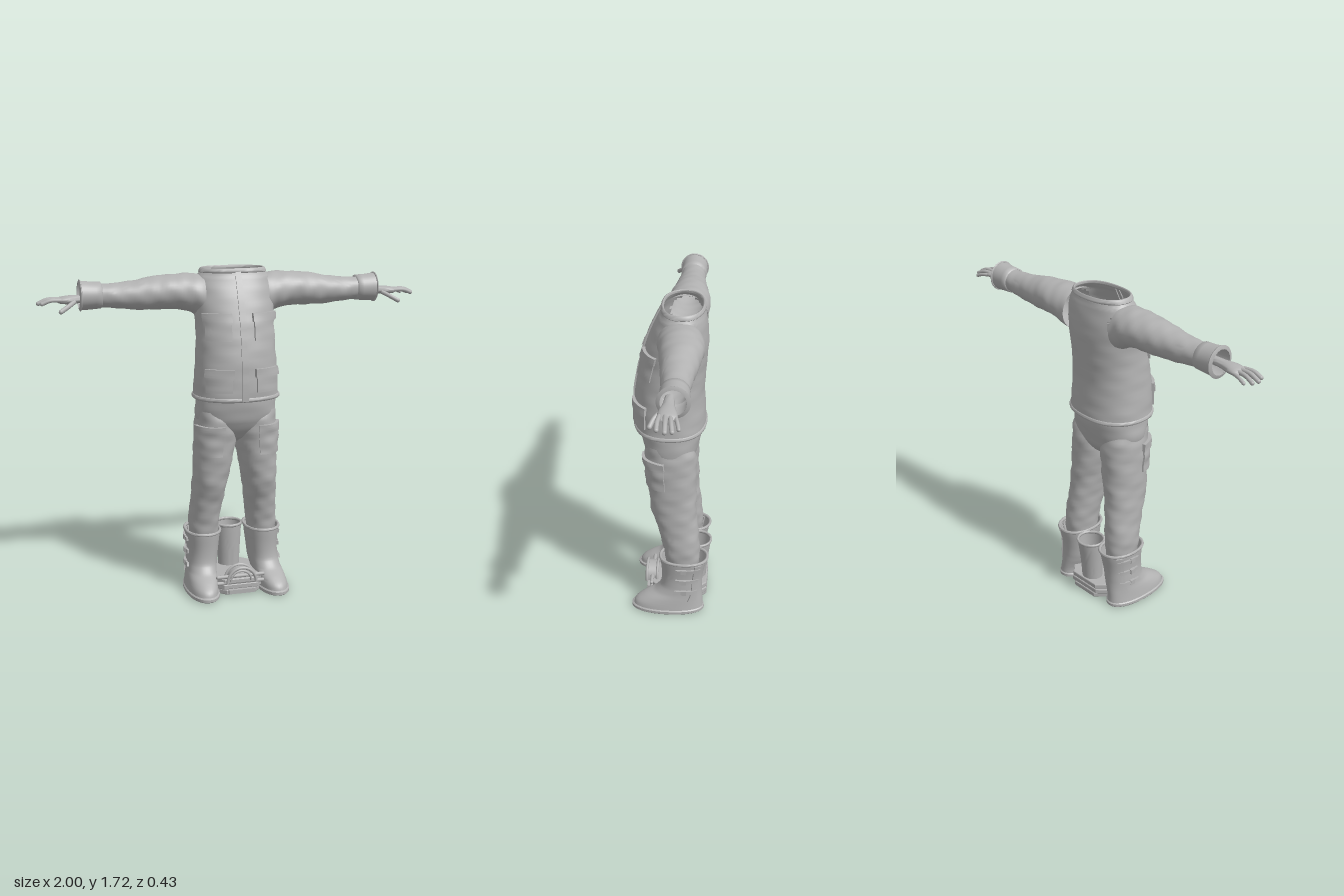
import * as THREE from 'three';
import { toCreasedNormals, mergeVertices } from 'three/addons/utils/BufferGeometryUtils.js';

const grey = new THREE.MeshStandardMaterial({ color: 0xb2b2b2, side: THREE.DoubleSide });
grey.name = 'grey';
const DEG = Math.PI / 180;

function add(parent, name, geo) {
  const m = new THREE.Mesh(geo, grey);
  m.name = name;
  parent.add(m);
  return m;
}

// A tube described by rows [v, p0, p1, q0, q1]; axis 'y' runs upward, 'x' runs sideways
function tube(rows, { axis = 'y', power = 1, folds = 0 } = {}) {
  const col = (i, f, c) => {
    const r = (k) => rows[Math.min(Math.max(k, 0), rows.length - 1)][c];
    const [a, b, d, e] = [r(i - 1), r(i), r(i + 1), r(i + 2)];
    return b + 0.5 * f * (d - a + f * (2 * a - 5 * b + 4 * d - e + f * (3 * (b - d) + e - a)));
  };
  const round = (s) => Math.sign(s) * Math.pow(Math.abs(s), power);
  const at = (v, a, lift = 0) => {
    let i = 0;
    while (i < rows.length - 2 && v > rows[i + 1][0]) i++;
    const f = (v - rows[i][0]) / (rows[i + 1][0] - rows[i][0]);
    const [p0, p1, q0, q1] = [1, 2, 3, 4].map((c) => col(i, f, c));
    const k = 1 + folds * (Math.sin(3 * a + v * 37) + Math.sin(5 * a - v * 61 + 1.3) + 0.7 * Math.sin(2 * a + v * 90));
    const p = (p0 + p1) / 2 + ((p1 - p0) / 2 * k + lift) * round(Math.cos(a));
    const q = (q0 + q1) / 2 + ((q1 - q0) / 2 * k + lift) * round(Math.sin(a));
    return axis === 'y' ? [p, v, q] : [v, q, p];
  };
  return { rows, at };
}

// Skin of a tube, with optional openings
function skin(t, { seg = 40, steps = 5, skip = () => false, crease = 60 } = {}) {
  const pos = [], idx = [], vs = [];
  t.rows.forEach((r, i) => {
    if (i === 0) return vs.push(r[0]);
    const b = t.rows[i - 1][0];
    for (let s = 1; s <= steps; s++) vs.push(b + (r[0] - b) * s / steps);
  });
  vs.forEach((v) => { for (let j = 0; j < seg; j++) pos.push(...t.at(v, j / seg * Math.PI * 2)); });
  for (let i = 0; i < vs.length - 1; i++) for (let j = 0; j < seg; j++) {
    const a = i * seg + j, b = i * seg + (j + 1) % seg;
    if (skip(pos[a * 3], pos[a * 3 + 1], pos[a * 3 + 2])) continue;
    idx.push(a, a + seg, b, b, a + seg, b + seg);
  }
  return finish(pos, idx, crease);
}

function finish(pos, idx, crease) {
  const g = new THREE.BufferGeometry();
  g.setAttribute('position', new THREE.Float32BufferAttribute(pos, 3));
  g.setIndex(idx);
  return toCreasedNormals(mergeVertices(g, 1e-5), crease * DEG);
}

// Raised patch that hugs a tube between two angles (degrees) and two heights
function patch(t, a0, a1, v0, v1, lift, n = 12) {
  const pos = [], idx = [], w = n + 3;
  for (let i = 0; i < w; i++) for (let j = 0; j < w; j++) {
    const f = (k) => Math.min(Math.max(k - 1, 0), n) / n;
    const edge = i === 0 || j === 0 || i === w - 1 || j === w - 1;
    pos.push(...t.at(v0 + (v1 - v0) * f(i), (a0 + (a1 - a0) * f(j)) * DEG, edge ? -0.006 : lift));
  }
  for (let i = 0; i < w - 1; i++) for (let j = 0; j < w - 1; j++) {
    const a = i * w + j;
    idx.push(a, a + w, a + 1, a + 1, a + w, a + w + 1);
  }
  return finish(pos, idx, 35);
}

function pocket(parent, name, t, a0, a1, bottom, top) {
  add(parent, name, patch(t, a0, a1, bottom, top - 0.02, 0.009));
  add(parent, name + 'Flap', patch(t, a0 - 2, a1 + 2, top - 0.042, top, 0.016));
}

// Closed band around a tube
function band(t, v0, v1, lift) {
  const mid = (v0 + v1) / 2, h = (v1 - v0) / 2, seg = 48, k = 8, pos = [], idx = [];
  for (let i = 0; i < k; i++) for (let j = 0; j < seg; j++) {
    const c = i / k * Math.PI * 2;
    pos.push(...t.at(mid + h * Math.sin(c), j / seg * Math.PI * 2, lift * Math.cos(c)));
  }
  for (let i = 0; i < k; i++) for (let j = 0; j < seg; j++) {
    const n = (i + 1) % k, m = (j + 1) % seg;
    idx.push(i * seg + j, n * seg + j, i * seg + m, i * seg + m, n * seg + j, n * seg + m);
  }
  return finish(pos, idx, 60);
}

function box(parent, name, size, at) {
  const m = add(parent, name, new THREE.BoxGeometry(...size));
  m.position.set(...at);
  return m;
}

function buildHand(parent) {
  const palm = tube([[0.72, -0.06, -0.015, 1.565, 1.605], [0.79, -0.065, -0.008, 1.562, 1.602],
    [0.84, -0.078, 0.005, 1.558, 1.602], [0.885, -0.084, 0.004, 1.562, 1.595], [0.905, -0.07, -0.01, 1.572, 1.584]], { axis: 'x' });
  add(parent, 'palm', skin(palm, { seg: 20, steps: 3 }));
  // Fingers and thumb: knuckle, middle joint, tip, radius
  [[[0.88, 1.582, -0.005], [0.935, 1.582, 0], [0.975, 1.567, 0.0], 0.0105],
    [[0.88, 1.584, -0.03], [0.945, 1.584, -0.034], [0.99, 1.566, -0.036], 0.011],
    [[0.88, 1.582, -0.052], [0.94, 1.58, -0.06], [0.982, 1.564, -0.067], 0.0105],
    [[0.875, 1.578, -0.073], [0.92, 1.574, -0.085], [0.955, 1.562, -0.093], 0.009],
    [[0.815, 1.572, -0.01], [0.85, 1.552, 0.02], [0.888, 1.53, 0.037], 0.0115]].forEach(([a, b, c, r], i) => {
    const pts = [a, b, c].map((p) => new THREE.Vector3(...p));
    const name = i < 4 ? 'finger' : 'thumb';
    add(parent, name, new THREE.TubeGeometry(new THREE.CatmullRomCurve3(pts), 8, r, 10));
    add(parent, name + 'Tip', new THREE.SphereGeometry(r, 10, 8)).position.copy(pts[2]);
  });
}

function buildSide(sign, jacket) {
  const g = new THREE.Group();
  g.name = sign > 0 ? 'leftSide' : 'rightSide';
  g.scale.x = sign;

  // Sleeve, cuff and hand
  const sleeve = tube([[0.165, -0.16, 0.07, 1.465, 1.69], [0.22, -0.165, 0.062, 1.495, 1.694], [0.3, -0.165, 0.05, 1.515, 1.692],
    [0.4, -0.153, 0.038, 1.515, 1.685], [0.5, -0.138, 0.026, 1.518, 1.668], [0.6, -0.127, 0.016, 1.528, 1.655],
    [0.69, -0.118, 0.005, 1.537, 1.652]], { axis: 'x', folds: 0.012 });
  add(g, 'sleeve', skin(sleeve));
  const cuff = tube([[0.675, -0.118, 0.004, 1.535, 1.655], [0.68, -0.126, 0.011, 1.53, 1.662], [0.735, -0.126, 0.011, 1.526, 1.665],
    [0.785, -0.128, 0.013, 1.524, 1.67], [0.79, -0.116, 0.002, 1.535, 1.658]], { axis: 'x' });
  add(g, 'cuff', skin(cuff, { steps: 2 }));
  add(g, 'cuffRim', band(cuff, 0.778, 0.79, 0.006));
  buildHand(g);

  // Jacket pockets
  pocket(g, 'chestPocket', jacket, 32, 76, 1.37, 1.505);
  pocket(g, 'hipPocket', jacket, 35, 76, 1.11, 1.23);

  // Trouser leg
  const leg = tube([[0.25, 0.09, 0.23, -0.145, 0.02], [0.33, 0.083, 0.238, -0.15, 0.035], [0.4, 0.076, 0.238, -0.15, 0.047],
    [0.5, 0.062, 0.23, -0.14, 0.072], [0.6, 0.046, 0.226, -0.13, 0.105], [0.7, 0.026, 0.222, -0.128, 0.12],
    [0.83, 0.003, 0.22, -0.126, 0.132], [0.93, 0.005, 0.214, -0.125, 0.14], [1.0, 0.02, 0.208, -0.1, 0.13]],
  { power: 0.9, folds: 0.014 });
  add(g, 'trouserLeg', skin(leg));
  pocket(g, 'thighPocket', leg, 12, 96, 0.765, 0.925);

  // Boot: shaft and foot, rim, sole
  const boot = tube([[0.018, 0.112, 0.275, -0.175, 0.205], [0.05, 0.112, 0.27, -0.172, 0.192], [0.08, 0.107, 0.264, -0.17, 0.15],
    [0.11, 0.1, 0.257, -0.168, 0.092], [0.15, 0.092, 0.252, -0.167, 0.058], [0.22, 0.084, 0.248, -0.172, 0.052],
    [0.325, 0.073, 0.256, -0.192, 0.06]], { power: 0.9 });
  add(g, 'boot', skin(boot));
  add(g, 'bootRim', band(boot, 0.314, 0.331, 0.008));
  const sole = tube([[0, 0.194, 0.195, 0.01, 0.011], [0.001, 0.11, 0.276, -0.175, 0.208], [0.006, 0.106, 0.28, -0.18, 0.215],
    [0.02, 0.106, 0.28, -0.18, 0.215], [0.026, 0.112, 0.274, -0.174, 0.205]], { power: 0.9 });
  add(g, 'bootSole', skin(sole, { steps: 1, crease: 35 }));

  // Boot straps and buckles
  add(g, 'bootStrip', patch(boot, -48, -28, 0.08, 0.31, 0.007));
  for (const y of [0.14, 0.21, 0.28]) {
    add(g, 'bootStrap', patch(boot, -45, 14, y - 0.01, y + 0.01, 0.011));
    box(g, 'buckle', [0.016, 0.026, 0.03], [0.257, y, -0.07]);
  }
  return g;
}

function buildStand() {
  const g = new THREE.Group();
  g.name = 'stand';
  // Stacked plates with cut corners
  const outline = (w, z0, z1, c) => new THREE.Shape([[-w + c, z0], [w - c, z0], [w, z0 + c], [w, z1 - c],
    [w - c, z1], [-w + c, z1], [-w, z1 - c], [-w, z0 + c]].map(([x, z]) => new THREE.Vector2(x, -z)));
  [[0.125, 0.006], [0.14, 0.036], [0.135, 0.066]].forEach(([w, y]) => {
    const geo = new THREE.ExtrudeGeometry(outline(w, -0.182, 0.12, 0.05), { depth: 0.018, bevelThickness: 0.005, bevelSize: 0.006, bevelSegments: 2 });
    geo.rotateX(-Math.PI / 2).translate(0, y, 0);
    add(g, 'plate', geo);
  });
  box(g, 'plateCore', [0.22, 0.08, 0.22], [0, 0.045, -0.03]);
  // Front bars and arch
  for (const y of [0.065, 0.1]) {
    const bar = add(g, 'crossBar', new THREE.CapsuleGeometry(0.01, 0.25, 4, 10));
    bar.rotation.z = Math.PI / 2;
    bar.position.set(0, y, 0.115);
  }
  for (const [r, z, t] of [[0.078, 0.145, 0.008], [0.078, 0.088, 0.008], [0.056, 0.13, 0.006]])
    add(g, 'archRing', new THREE.TorusGeometry(r, t, 8, 28, Math.PI)).position.set(0, 0.075, z);
  const arch = add(g, 'arch', new THREE.CylinderGeometry(0.074, 0.074, 0.06, 28, 1, true, Math.PI / 2, Math.PI));
  arch.rotation.x = Math.PI / 2;
  arch.position.set(0, 0.075, 0.115);
  box(g, 'frontLip', [0.14, 0.022, 0.04], [0, 0.022, 0.125]);

  // Upright holder behind the boots
  const holder = tube([[0.08, -0.058, 0.058, -0.18, -0.075], [0.2, -0.064, 0.064, -0.19, -0.07],
    [0.322, -0.072, 0.072, -0.205, -0.065]]);
  add(g, 'holder', skin(holder));
  add(g, 'holderRim', band(holder, 0.31, 0.328, 0.007));
  return g;
}

export function createModel() {
  const model = new THREE.Group();
  model.name = 'outfit';

  // Jacket body, open at the neck and armholes
  const jacket = tube([[1.062, -0.222, 0.222, -0.168, 0.198], [1.13, -0.218, 0.218, -0.165, 0.2], [1.25, -0.21, 0.21, -0.158, 0.195],
    [1.35, -0.203, 0.203, -0.162, 0.18], [1.45, -0.202, 0.202, -0.17, 0.157], [1.54, -0.208, 0.208, -0.174, 0.13],
    [1.62, -0.205, 0.205, -0.168, 0.098], [1.675, -0.19, 0.19, -0.158, 0.072], [1.7, -0.172, 0.172, -0.152, 0.06],
    [1.715, -0.164, 0.164, -0.148, 0.055]], { power: 0.88, folds: 0.004 });
  const armhole = (x, y, z) => Math.abs(x) > 0.12 && ((y - 1.585) / 0.085) ** 2 + ((z + 0.05) / 0.09) ** 2 < 1;
  add(model, 'jacket', skin(jacket, { seg: 64, skip: armhole }));
  add(model, 'jacketHem', band(jacket, 1.06, 1.082, 0.007));
  add(model, 'collar', band(jacket, 1.698, 1.722, 0.008));
  add(model, 'frontPlacket', patch(jacket, 86.8, 93.2, 1.065, 1.705, 0.009, 30));

  // Trouser seat
  const seat = tube([[0.825, -0.03, 0.03, -0.04, 0.04], [0.85, -0.1, 0.1, -0.085, 0.085], [0.9, -0.18, 0.18, -0.118, 0.125],
    [0.95, -0.21, 0.21, -0.132, 0.15], [1.02, -0.21, 0.21, -0.146, 0.168], [1.1, -0.205, 0.205, -0.15, 0.175]],
  { power: 0.88, folds: 0.004 });
  add(model, 'trouserSeat', skin(seat, { seg: 56 }));

  model.add(buildSide(1, jacket), buildSide(-1, jacket), buildStand());
  return model;
}
